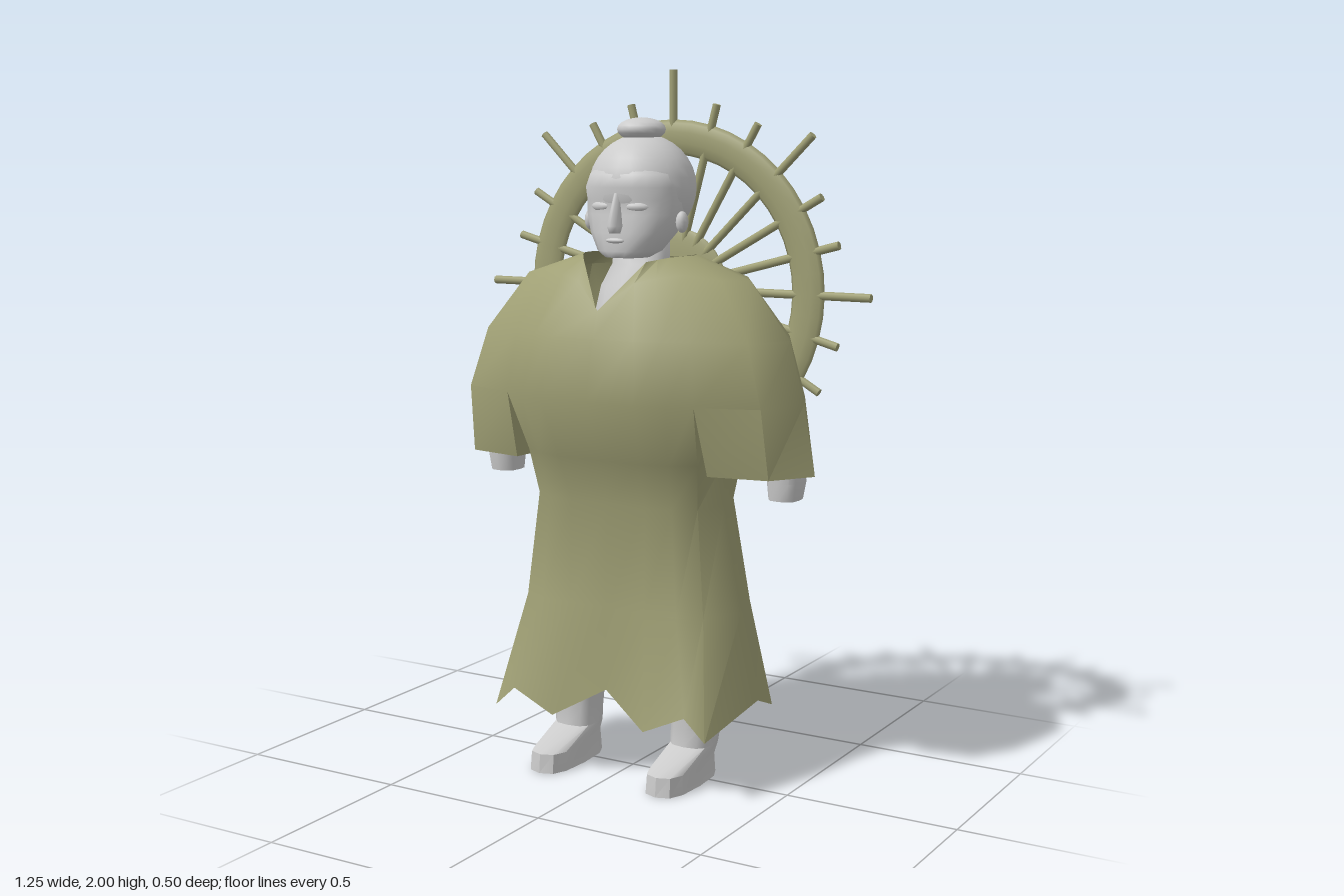
import * as THREE from 'three';
import { mergeGeometries, mergeVertices, toCreasedNormals } from 'three/addons/utils/BufferGeometryUtils.js';

const cloth = new THREE.MeshStandardMaterial({ color: 0xa0a075 });
const robeCloth = new THREE.MeshStandardMaterial({ color: 0xa0a075, side: THREE.DoubleSide });
const skin = new THREE.MeshStandardMaterial({ color: 0xcccccc });

// Skin closed rows of [x, y, z], listed bottom to top, counter-clockwise from above
function loft(rows, caps = false) {
  const n = rows[0].length, pos = rows.flat(2), idx = [];
  for (let r = 0; r < rows.length - 1; r++) {
    for (let j = 0; j < n; j++) {
      const a = r * n + j, b = r * n + (j + 1) % n;
      idx.push(a, b, b + n, a, b + n, a + n);
    }
  }
  if (caps) {
    const top = (rows.length - 1) * n;
    for (let j = 1; j < n - 1; j++) idx.push(0, j + 1, j, top, top + j, top + j + 1);
  }
  const g = new THREE.BufferGeometry();
  g.setAttribute('position', new THREE.Float32BufferAttribute(pos, 3));
  g.setIndex(idx);
  g.computeVertexNormals();
  return g;
}

// Complete a half row (front centre to back centre) on the other side
const mirrorRow = half => [...half, ...half.slice(1, -1).reverse().map(([x, y, z]) => [-x, y, z])];
const level = (y, pts) => pts.map(([x, z]) => [x, y, z]);

// Rounded-rectangle row: centre x, height, half width, back z, front z, squareness
function ring(cx, y, w, z0, z1, n = 12, p = 0.7) {
  return Array.from({ length: n }, (_, i) => {
    const t = (i / n) * Math.PI * 2, s = Math.sin(t), c = Math.cos(t);
    const sq = v => Math.sign(v) * Math.abs(v) ** p;
    return [cx + w * sq(s), y, (z0 + z1) / 2 + ((z1 - z0) / 2) * sq(c)];
  });
}

function add(parent, name, geometry, material, x = 0, y = 0, z = 0) {
  const m = new THREE.Mesh(geometry, material);
  m.name = name;
  m.position.set(x, y, z);
  parent.add(m);
  return m;
}

function robeGeometry() {
  // Chest section, where the sleeves part from the torso
  const chest = level(1.1, [[0, .25], [.15, .25], [.23, .22], [.3, .19], [.47, .13], [.525, -.02],
    [.46, -.16], [.3, -.2], [.23, -.21], [.15, -.21], [0, -.205]]);
  const upper = [
    chest,
    level(1.27, [[0, .215], [.13, .22], [.2, .2], [.28, .17], [.42, .11], [.48, -.02],
      [.42, -.14], [.28, -.17], [.2, -.18], [.13, -.18], [0, -.18]]),
    [[0, 1.345, .19], [.09, 1.42, .145], [.15, 1.435, .13], [.22, 1.445, .1], [.31, 1.43, .06], [.355, 1.425, -.03],
      [.31, 1.43, -.1], [.22, 1.445, -.135], [.15, 1.45, -.145], [.09, 1.45, -.15], [0, 1.45, -.15]],
    [[0, 1.33, .19], [.1, 1.475, .1], [.12, 1.48, .07], [.14, 1.485, .04], [.16, 1.487, 0], [.17, 1.487, -.04],
      [.16, 1.487, -.08], [.14, 1.485, -.11], [.11, 1.48, -.13], [.07, 1.475, -.14], [0, 1.475, -.14]],
  ].map(mirrorRow);

  // Skirt with a zigzag hem, rising to the chest
  const arm = [.3, 1.1, 0];
  const torso = [
    [[0, .265, .15], [.15, .18, .2], [.28, .24, .2], [.345, .18, .2], [.4, .255, -.01],
      [.345, .18, -.21], [.27, .24, -.25], [.14, .18, -.25], [0, .265, -.215]],
    level(.5, [[0, .145], [.12, .145], [.22, .14], [.29, .11], [.345, -.01], [.3, -.15], [.22, -.2], [.12, -.2], [0, -.18]]),
    level(.8, [[0, .14], [.12, .14], [.2, .13], [.26, .09], [.288, -.01], [.26, -.12], [.2, -.17], [.12, -.18], [0, -.18]]),
    level(.93, [[0, .185], [.13, .185], [.21, .165], [.275, .12], [.29, -.01], [.275, -.15], [.21, -.185], [.13, -.19], [0, -.19]]),
    [...chest.slice(0, 4), arm, ...chest.slice(7)],
  ].map(mirrorRow);

  // Wide open sleeves
  const sleeve = [
    level(.905, [[.31, .13], [.48, .1], [.56, -.02], [.49, -.14], [.32, -.16], [.3, 0]]),
    [...chest.slice(3, 8), arm],
  ];
  const mirrored = sleeve.map(r => r.map(([x, y, z]) => [-x, y, z]).reverse());
  const g = mergeVertices(mergeGeometries([upper, torso, sleeve, mirrored].map(r => loft(r))));
  return toCreasedNormals(g, 0.9);
}

function buildHead() {
  const head = new THREE.Group();
  head.name = 'head';
  add(head, 'skull', new THREE.SphereGeometry(.148, 24, 16), skin, 0, 1.672, -.052).scale.x = 1.03;
  add(head, 'hairBun', new THREE.SphereGeometry(.069, 16, 10), skin, 0, 1.832, -.045).scale.y = .48;
  const face = [[1.482, .06, -.03, .09], [1.5, .088, -.07, .1], [1.55, .122, -.11, .098], [1.6, .14, -.13, .092],
    [1.64, .143, -.13, .088], [1.675, .142, -.13, .1], [1.71, .13, -.12, .09], [1.75, .09, -.11, .062]]
    .map(([y, w, z0, z1]) => ring(0, y, w, z0, z1, 20, .85));
  add(head, 'face', loft(face, true), skin);
  // Wedge nose, narrow at the bridge
  const nose = [[1.55, .02, .06, .112], [1.57, .022, .06, .125], [1.66, .009, .06, .097]]
    .map(([y, w, z0, z1]) => ring(0, y, w, z0, z1, 8, 1));
  add(head, 'nose', loft(nose, true), skin);
  add(head, 'mouth', new THREE.SphereGeometry(.03, 12, 8), skin, 0, 1.53, .098).scale.set(1, .25, .35);
  for (const s of [-1, 1]) {
    const lid = add(head, 'eyelid', new THREE.SphereGeometry(.036, 12, 8), skin, s * .06, 1.622, .073);
    lid.scale.set(1, .4, .4);
    lid.rotation.y = s * .3;
    const ear = add(head, 'ear', new THREE.SphereGeometry(.03, 10, 8), skin, s * .148, 1.58, -.015);
    ear.scale.set(.55, 1, .7);
  }
  const neck = [[1.25, .13, -.11, .1], [1.4, .1, -.11, .07], [1.46, .085, -.11, .02], [1.56, .08, -.11, .01]]
    .map(([y, w, z0, z1]) => ring(0, y, w, z0, z1, 14, .85));
  add(head, 'neck', loft(neck, true), skin);
  return head;
}

function buildWheel() {
  const wheel = new THREE.Group();
  wheel.name = 'backWheel';
  wheel.position.set(0, 1.375, -.225);
  add(wheel, 'wheelRim', new THREE.TorusGeometry(.435, .05, 10, 48), cloth).scale.z = .32;
  add(wheel, 'wheelHub', new THREE.SphereGeometry(.18, 28, 14), cloth).scale.z = .11;
  // Every third spoke is long
  for (let i = 0; i < 24; i++) {
    const length = i % 3 ? .545 : .625, a = (i / 24) * Math.PI * 2;
    const spoke = add(wheel, 'spoke', new THREE.CylinderGeometry(.012, .012, length, 8), cloth,
      -Math.sin(a) * length / 2, Math.cos(a) * length / 2);
    spoke.rotation.z = a;
  }
  return wheel;
}

export function createModel() {
  const model = new THREE.Group();
  model.name = 'robedFigure';
  add(model, 'robe', robeGeometry(), robeCloth);
  model.add(buildHead(), buildWheel());

  for (const s of [-1, 1]) {
    const side = s > 0 ? 'left' : 'right';
    // Bare foot and lower leg in one piece
    const leg = [[0, .193, .063, -.09, .205], [.055, .193, .06, -.085, .2], [.1, .195, .062, -.08, .05],
      [.15, .198, .066, -.083, .045], [.25, .204, .078, -.1, .06], [.45, .2, .08, -.1, .06]]
      .map(([y, x, w, z0, z1]) => ring(s * x, y, w, z0, z1));
    add(model, side + 'Leg', toCreasedNormals(loft(leg, true), .7), skin);
    // Hand and forearm inside the sleeve
    const hand = [[.83, .462, .042, -.092, .005], [.88, .464, .048, -.1, .012], [.95, .455, .05, -.095, .015], [1.08, .42, .05, -.08, .03]]
      .map(([y, x, w, z0, z1]) => ring(s * x, y, w, z0, z1));
    add(model, side + 'Hand', toCreasedNormals(loft(hand, true), .7), skin);
  }
  return model;
}
